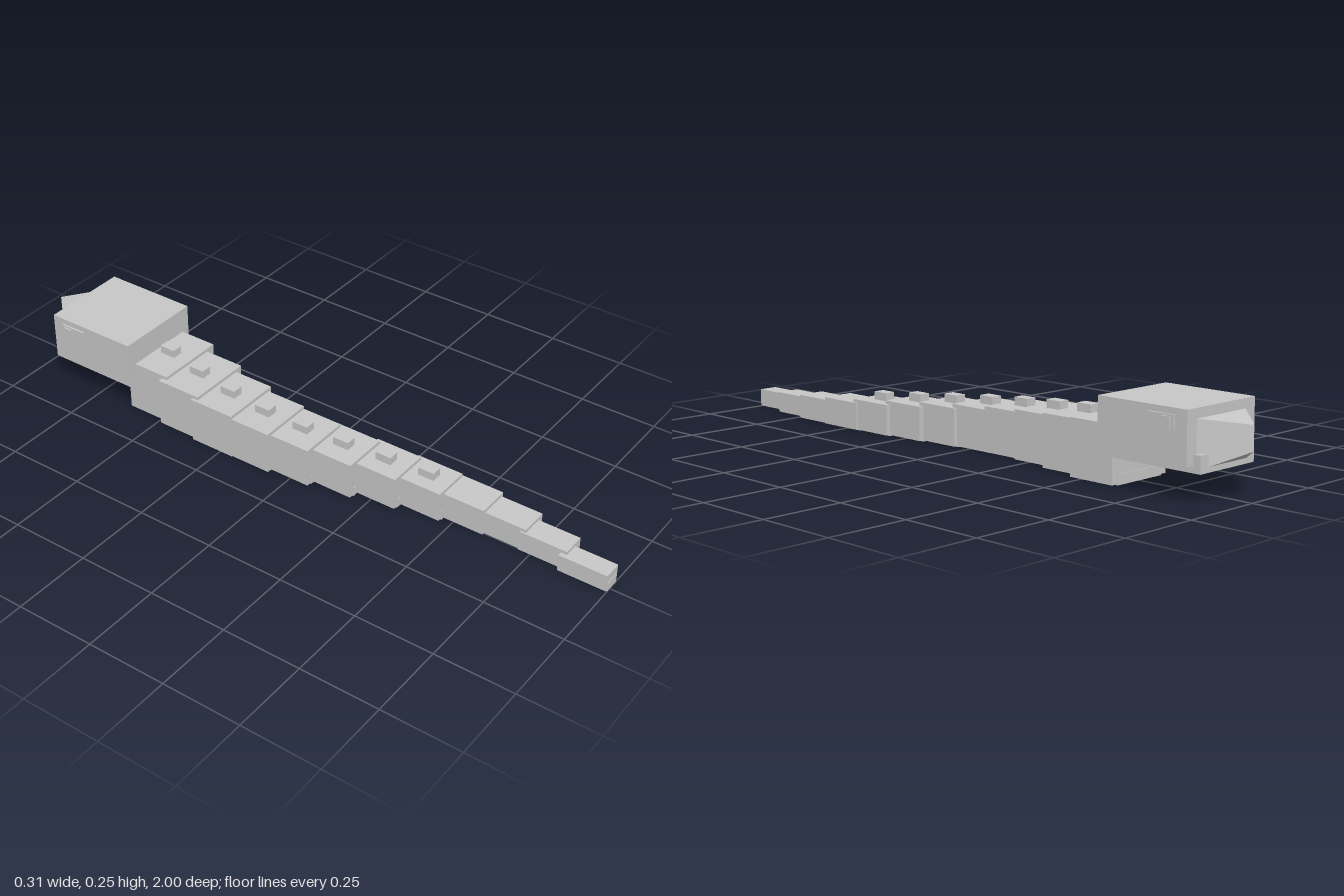
import * as THREE from 'three';

export function createModel() {
  const group = new THREE.Group();
  const grey = new THREE.MeshStandardMaterial({ color: 0xc8c8c8, flatShading: true });
  grey.name = 'light grey';

  // Adds a box given by its minimum and maximum on each axis
  function box(name, [x0, x1], [y0, y1], [z0, z1], parent = group) {
    const mesh = new THREE.Mesh(new THREE.BoxGeometry(x1 - x0, y1 - y0, z1 - z0), grey);
    mesh.position.set((x0 + x1) / 2, (y0 + y1) / 2, (z0 + z1) / 2);
    mesh.name = name;
    parent.add(mesh);
    return mesh;
  }

  // Winding body: overlapping segments that taper towards the tail
  const pitch = 0.1333;
  for (let i = 0; i < 12; i++) {
    const segment = new THREE.Group();
    segment.name = 'bodySegment' + (i + 1);
    const cx = -0.045 * Math.sin(i * 0.55);
    const end = 1 - (11 - i) * pitch;
    const start = end - 0.156;
    const mid = (start + end) / 2;
    const half = (0.226 - 0.015 * i) / 2;
    const top = 0.17 - 0.0103 * i;
    box('segmentBlock', [cx - half, cx + half], [0.003, top], [start + 0.002, end - 0.002], segment);
    // Narrow belly plate under each segment
    box('bellyPlate', [cx - half * 0.8, cx + half * 0.8], [0, 0.03], [start, end], segment);
    // Small spines on the first eight segments
    if (i < 8) {
      box('backSpine', [cx - 0.0175, cx + 0.0175], [top - 0.01, top + 0.025], [mid - 0.026, mid + 0.026], segment);
    }
    group.add(segment);
  }

  // Head and lower jaw
  box('head', [-0.142, 0.142], [0.1, 0.25], [-0.895, -0.592]);
  box('lowerJaw', [-0.113, 0.113], [0.08, 0.13], [-0.918, -0.62]);

  // Snout: a block whose front face narrows to an upright edge
  const snout = box('snout', [-0.104, 0.104], [0.083, 0.222], [-1, -0.893]);
  const pos = snout.geometry.attributes.position;
  for (let i = 0; i < pos.count; i++) {
    if (pos.getZ(i) < 0) {
      const y = pos.getY(i) > 0 ? 0.206 : 0.136;
      pos.setXYZ(i, 0, y - snout.position.y, pos.getZ(i));
    }
  }
  snout.geometry.computeVertexNormals();

  // Eyes with pupils, and fangs, on both sides
  for (const side of [-1, 1]) {
    const span = (a, b) => (side > 0 ? [a, b] : [-b, -a]);
    box('eye', span(0.139, 0.148), [0.184, 0.232], [-0.855, -0.77]);
    box('pupil', span(0.144, 0.153), [0.189, 0.227], [-0.845, -0.818]);
    const fang = new THREE.Mesh(new THREE.ConeGeometry(0.025, 0.03, 4), grey);
    fang.name = 'fang';
    fang.rotation.x = Math.PI;
    fang.position.set(side * 0.072, 0.089, -0.84);
    group.add(fang);
  }

  return group;
}
